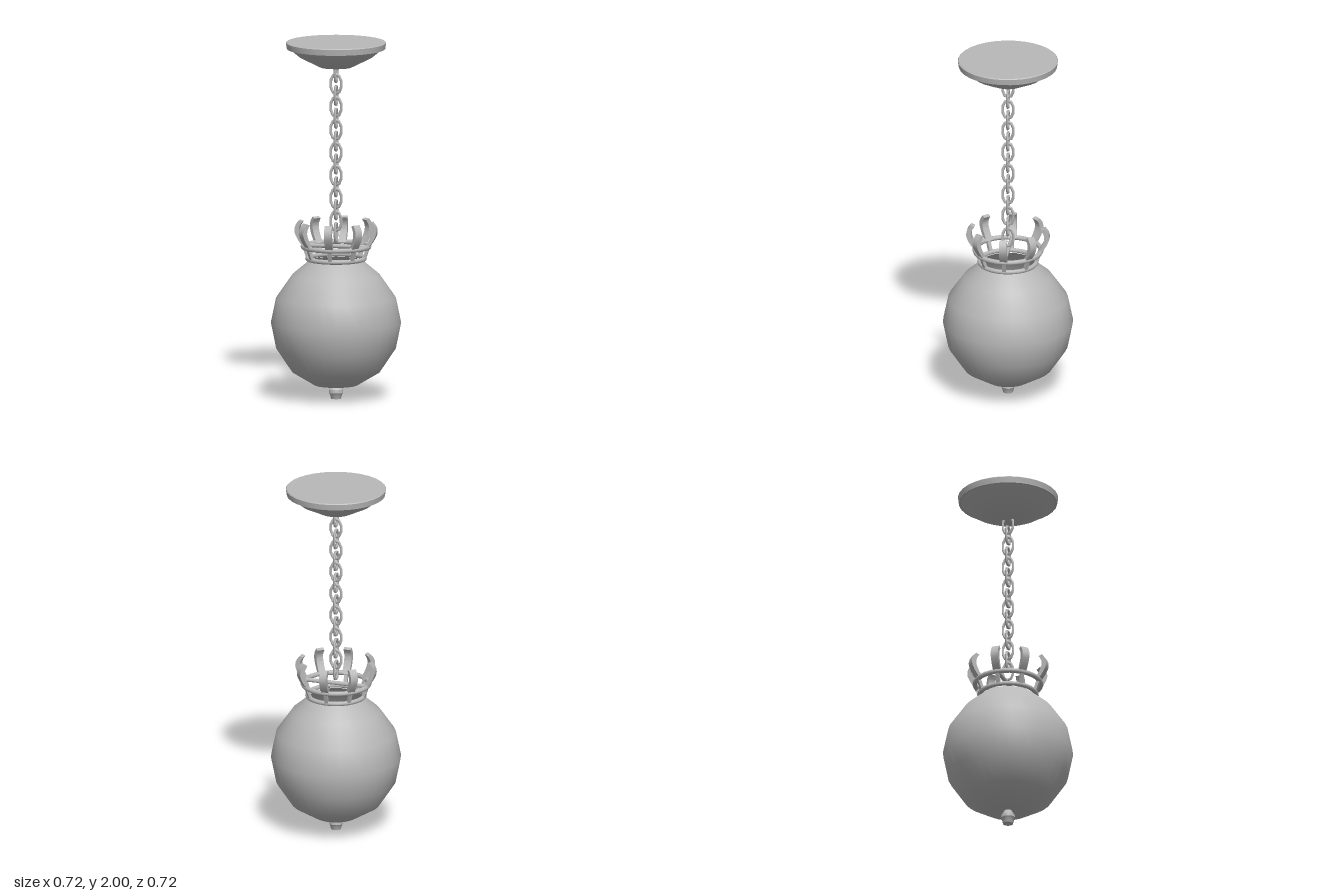
import * as THREE from 'three';
import { toCreasedNormals } from 'three/addons/utils/BufferGeometryUtils.js';

const metal = new THREE.MeshStandardMaterial({ color: 0xb8b8b8, side: THREE.DoubleSide });
metal.name = 'grey metal and glass';

const vec = (pts) => pts.map(([x, y]) => new THREE.Vector2(x, y));

export function createModel() {
  const model = new THREE.Group();
  model.name = 'pendantLamp';

  const add = (name, geometry, parent = model) => {
    const mesh = new THREE.Mesh(geometry, metal);
    mesh.name = name;
    parent.add(mesh);
    return mesh;
  };
  const lathe = (name, pts, segments, crease) =>
    add(name, toCreasedNormals(new THREE.LatheGeometry(vec(pts), segments), crease));

  // Ceiling canopy: shallow bowl under a thin rim
  lathe('ceilingCanopy', [
    [0, 1.86], [0.09, 1.86], [0.2, 1.915], [0.258, 1.962],
    [0.273, 1.962], [0.278, 1.995], [0.273, 2], [0, 2],
  ], 32, 0.55);

  // Globe shade, open at the neck
  lathe('globeShade', [
    [0, 0.08], [0.12, 0.08], [0.245, 0.155], [0.332, 0.285], [0.361, 0.43],
    [0.332, 0.57], [0.245, 0.695], [0.15, 0.775],
  ], 32, 0.7);

  // Finial knob under the globe
  lathe('finial', [
    [0, 0], [0.028, 0.003], [0.035, 0.03], [0.04, 0.036],
    [0.038, 0.055], [0.026, 0.068], [0.022, 0.085],
  ], 16, 0.6);

  // Chain: oval links turned a quarter each time
  const chain = new THREE.Group();
  chain.name = 'chain';
  model.add(chain);
  const linkGeometry = new THREE.TorusGeometry(0.031, 0.0075, 6, 10);
  linkGeometry.rotateZ(Math.PI / 10);
  const pos = linkGeometry.attributes.position;
  for (let i = 0; i < pos.count; i++) {
    // stretch the ring upwards without thickening its wire
    const y = pos.getY(i);
    pos.setY(i, y + 0.022 * THREE.MathUtils.clamp(y / 0.025, -1, 1));
  }
  linkGeometry.computeVertexNormals();
  for (let i = 0; i < 15; i++) {
    const link = add('chainLink', linkGeometry, chain);
    link.position.y = 1.829 - i * 0.064;
    link.rotation.y = i % 2 ? 0 : Math.PI / 2;
  }

  // Crown: two rings and a bar that carries the chain
  const crown = new THREE.Group();
  crown.name = 'crown';
  model.add(crown);
  const ring = (name, radius, tube, y) => {
    const mesh = add(name, new THREE.TorusGeometry(radius, tube, 8, 32), crown);
    mesh.rotation.x = Math.PI / 2;
    mesh.position.y = y;
  };
  ring('upperRing', 0.183, 0.014, 0.855);
  ring('lowerRing', 0.158, 0.013, 0.788);
  const bar = add('crossBar', new THREE.CylinderGeometry(0.012, 0.012, 0.36, 8), crown);
  bar.rotation.z = Math.PI / 2;
  bar.position.y = 0.857;

  // Curled horn, outlined in radius and height
  const outline = new THREE.Shape();
  outline.moveTo(0.165, 0.855);
  outline.lineTo(0.188, 0.855);
  outline.splineThru(vec([[0.215, 0.895], [0.231, 0.935], [0.226, 0.97], [0.206, 0.998]]));
  outline.lineTo(0.186, 0.99);
  outline.splineThru(vec([[0.201, 0.965], [0.204, 0.935], [0.19, 0.897], [0.165, 0.855]]));
  const hornGeometry = new THREE.ExtrudeGeometry(outline, {
    depth: 0.042, bevelEnabled: false, curveSegments: 3,
  });
  hornGeometry.translate(0, 0, -0.021);
  const horn = toCreasedNormals(hornGeometry, 0.6);

  // Eight horns, each above a slim post between the rings
  for (let i = 0; i < 8; i++) {
    const arm = new THREE.Group();
    arm.name = 'crownArm';
    arm.rotation.y = (i * Math.PI) / 4;
    crown.add(arm);
    add('horn', horn, arm);
    const post = add('post', new THREE.BoxGeometry(0.018, 0.08, 0.02), arm);
    post.position.set(0.17, 0.822, 0);
    post.rotation.z = -0.35;
  }
  return model;
}
